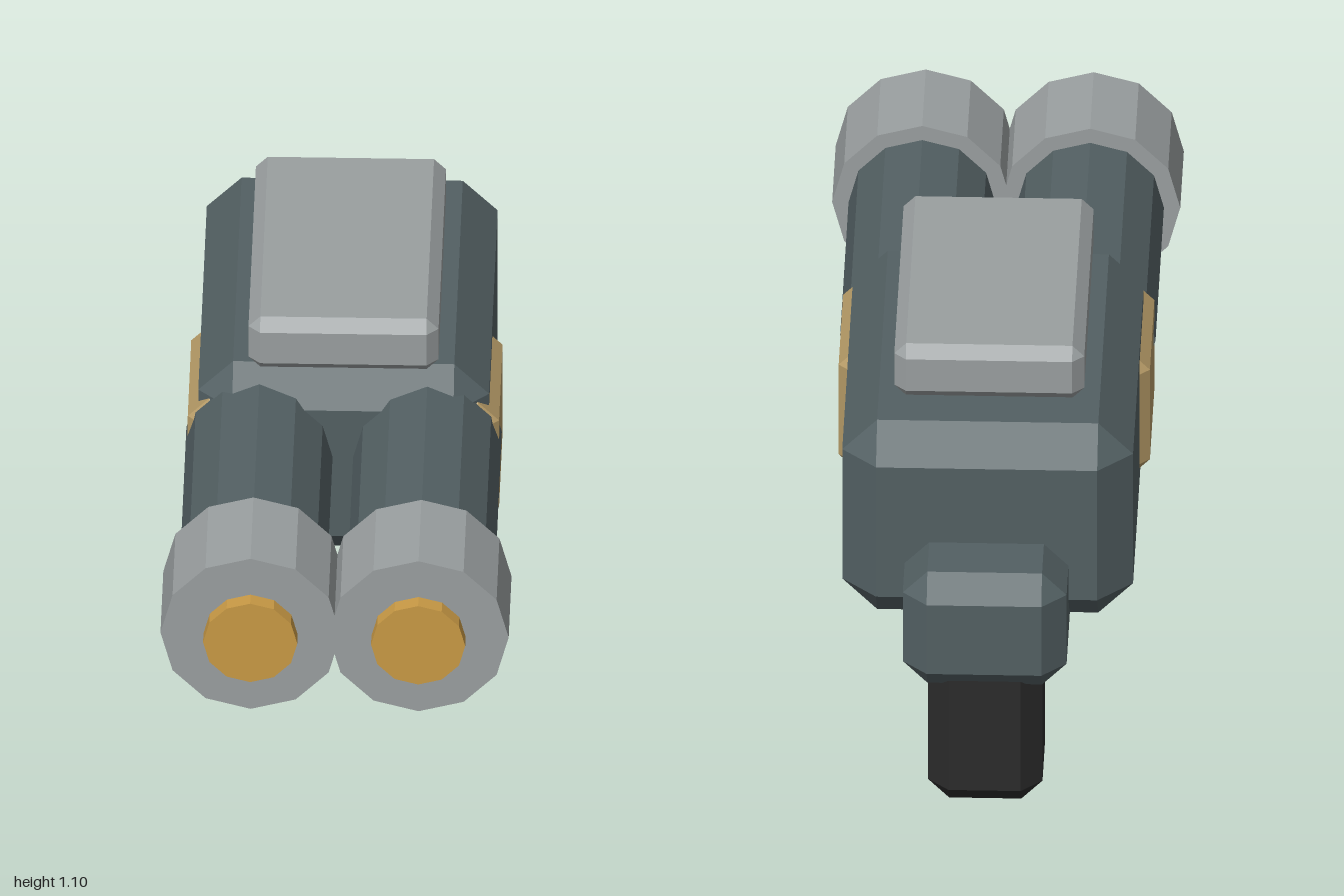
import * as THREE from 'three';
import { ConvexGeometry } from 'three/addons/geometries/ConvexGeometry.js';

function material(name, color) {
  const m = new THREE.MeshStandardMaterial({ color });
  m.name = name;
  m.flatShading = true;
  return m;
}

// Box with every edge and corner cut by c, given as [min, max] per axis
function chamferBox([x0, x1], [y0, y1], [z0, z1], c) {
  const half = [(x1 - x0) / 2, (y1 - y0) / 2, (z1 - z0) / 2];
  const points = [];
  for (const sx of [-1, 1]) for (const sy of [-1, 1]) for (const sz of [-1, 1]) {
    const s = [sx, sy, sz];
    for (let axis = 0; axis < 3; axis++) {
      const p = half.map((h, i) => s[i] * (i === axis ? h : h - c));
      points.push(new THREE.Vector3(...p));
    }
  }
  return new ConvexGeometry(points)
    .translate((x0 + x1) / 2, (y0 + y1) / 2, (z0 + z1) / 2);
}

// Twelve-sided cylinder lying along z
function tube(radius, z0, z1) {
  return new THREE.CylinderGeometry(radius, radius, z1 - z0, 12)
    .rotateX(Math.PI / 2)
    .translate(0, 0, (z0 + z1) / 2);
}

export function createModel() {
  const slate = material('slate metal', 0x536063);
  const silver = material('silver metal', 0x9a9fa0);
  const tan = material('tan panel', 0xb59a66);
  const gold = material('gold', 0xc99a45);
  const black = material('black grip', 0x2b2b2b);

  const model = new THREE.Group();
  model.name = 'doubleBarrelBlaster';
  const add = (parent, name, geometry, mat) => {
    const mesh = new THREE.Mesh(geometry, mat);
    mesh.name = name;
    parent.add(mesh);
  };

  // Receiver, cover and rear block
  add(model, 'body', chamferBox([-0.355, 0.355], [0.42, 0.957], [-0.8, 0.177], 0.085), slate);
  add(model, 'topCover', chamferBox([-0.232, 0.232], [0.955, 1.102], [-0.62, 0.14], 0.029), silver);
  add(model, 'rearBlock', chamferBox([-0.2, 0.2], [0.347, 0.662], [-1, -0.53], 0.06), slate);

  // Band that shows as a raised panel on both sides
  add(model, 'sidePanels', chamferBox([-0.38, 0.38], [0.507, 0.865], [-0.265, 0.172], 0.052), tan);

  // Grip and trigger
  add(model, 'grip', chamferBox([-0.14, 0.14], [0, 0.45], [-0.955, -0.655], 0.052), black);
  add(model, 'trigger', chamferBox([-0.14, 0.14], [0.24, 0.47], [-0.495, -0.398], 0.02), slate);

  // Twin barrels
  for (const [side, name] of [[1, 'leftBarrel'], [-1, 'rightBarrel']]) {
    const barrel = new THREE.Group();
    barrel.name = name;
    barrel.position.set(side * 0.205, 0.737, 0);
    add(barrel, 'barrelTube', tube(0.18, 0.055, 0.75), slate);
    add(barrel, 'muzzle', tube(0.22, 0.69, 0.96), silver);
    add(barrel, 'muzzleCore', tube(0.115, 0.9, 1), gold);
    model.add(barrel);
  }
  return model;
}
